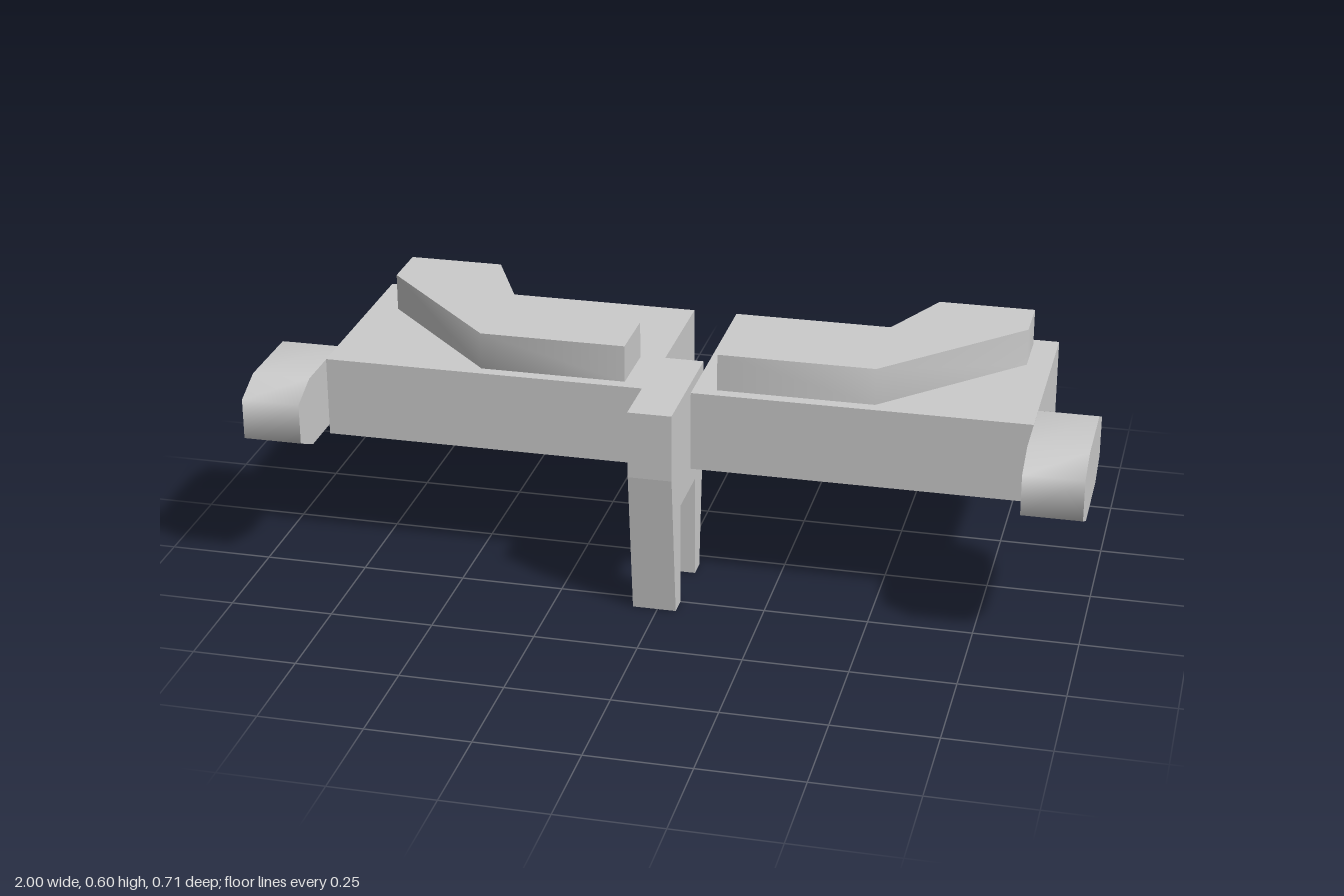
import * as THREE from 'three';
import { toCreasedNormals } from 'three/addons/utils/BufferGeometryUtils.js';

const material = new THREE.MeshStandardMaterial({ color: 0xcccccc });

function part(name, geometry) {
  const mesh = new THREE.Mesh(geometry, material);
  mesh.name = name;
  return mesh;
}

function prism(points, depth, crease) {
  const shape = new THREE.Shape(points.map(([u, v]) => new THREE.Vector2(u, v)));
  return toCreasedNormals(new THREE.ExtrudeGeometry(shape, { depth, bevelEnabled: false }), crease);
}

// Profile of [z, y] points swept along x from x0 to x1
function sideProfile(points, x0, x1, crease) {
  const geometry = prism(points.map(([z, y]) => [-z, y]), x1 - x0, crease);
  return geometry.rotateY(Math.PI / 2).translate(x0, 0, 0);
}

// Outline of [x, z] points raised from y0 to y1
function plan(points, y0, y1, crease) {
  const geometry = prism(points.map(([x, z]) => [x, -z]), y1 - y0, crease);
  return geometry.rotateX(-Math.PI / 2).translate(0, y0, 0);
}

export function createModel() {
  const model = new THREE.Group();

  // Two-legged centre bracket
  model.add(part('centreBracket', sideProfile([
    [0.34, 0.525], [0.34, 0.36], [0.3, 0], [0.25, 0], [0.25, 0.255],
    [0.095, 0.255], [0.095, 0], [0.047, 0], [0.005, 0.37], [0.005, 0.525],
  ], -0.06, 0.045, 0.1)));

  const endProfile = [
    [0.355, 0.37], [0.355, 0.47], [0.275, 0.505], [0.07, 0.505],
    [-0.01, 0.47], [-0.01, 0.37], [0.07, 0.333], [0.275, 0.333],
  ];

  // The sides differ slightly: inner slab edge, inner pad edge and pad shift
  const sides = [
    { name: 'left', s: 1, slabIn: 0.048, padIn: 0.105, shift: 0.008 },
    { name: 'right', s: -1, slabIn: 0.06, padIn: 0.12, shift: 0 },
  ];
  for (const { name, s, slabIn, padIn, shift } of sides) {
    const side = new THREE.Group();
    side.name = name + 'Side';

    // Flat slab
    const slab = new THREE.BoxGeometry(0.858 - slabIn, 0.197, 0.51);
    slab.translate(s * (0.858 + slabIn) / 2, 0.4075, -0.1);
    side.add(part(name + 'Slab', slab));

    // Bent raised pad on the slab
    const pad = [
      [0.79 + shift, -0.325], [0.556 + shift, -0.325], [0.43 + shift, -0.06],
      [0.375 + shift, -0.03], [padIn, -0.03], [padIn, 0.125],
      [0.475 + shift, 0.125], [0.79 + shift, -0.195],
    ];
    side.add(part(name + 'Pad', plan(pad.map(([x, z]) => [s * x, z]), 0.505, 0.597, 0.9)));

    // Eight-sided end block with softly shaded rim
    const [x0, x1] = s > 0 ? [0.858, 1] : [-1, -0.858];
    side.add(part(name + 'EndBlock', sideProfile(endProfile, x0, x1, 1.25)));

    model.add(side);
  }
  return model;
}
